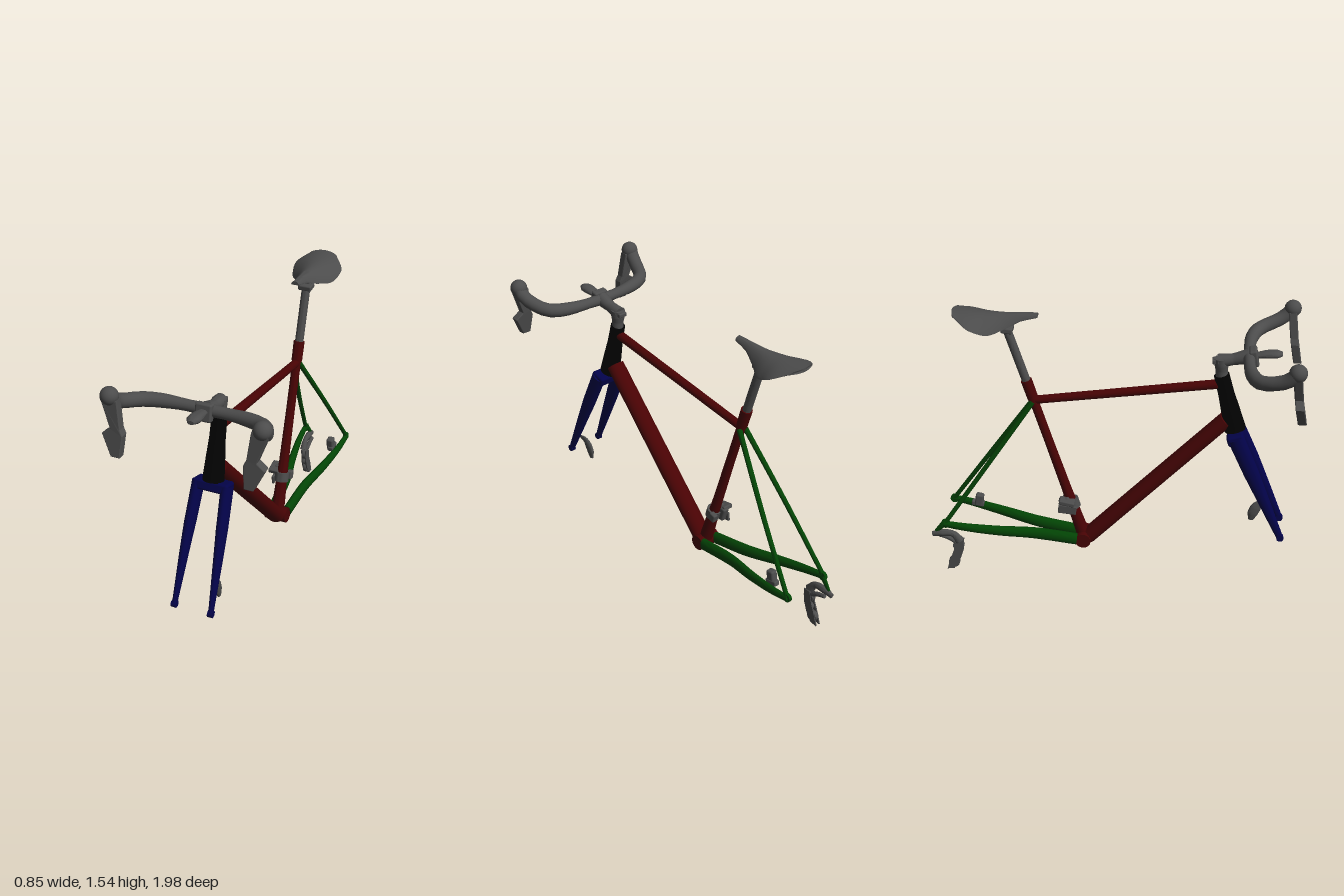
import * as THREE from 'three';
import { toCreasedNormals } from 'three/addons/utils/BufferGeometryUtils.js';
import { RoundedBoxGeometry } from 'three/addons/geometries/RoundedBoxGeometry.js';

const paint = (name, color) => Object.assign(new THREE.MeshStandardMaterial({ color }), { name });
const V = (p) => new THREE.Vector3(...p);

export function createModel() {
  const red = paint('dark red', 0x480304);
  const green = paint('dark green', 0x034405);
  const blue = paint('dark blue', 0x03034a);
  const grey = paint('component grey', 0x4c4c4c);
  const black = paint('black', 0x020202);
  const model = new THREE.Group();

  const add = (name, geometry, material) => {
    const mesh = new THREE.Mesh(geometry, material);
    mesh.name = name;
    model.add(mesh);
    return mesh;
  };

  // Capped tube through points, with radii spread along it and a width factor in x
  const sweep = (name, material, points, radii, xScale = 1) => {
    const n = 26, sides = 18;
    const curve = new THREE.CatmullRomCurve3(points.map(V));
    const geo = new THREE.TubeGeometry(curve, n, 1, sides);
    const pos = geo.attributes.position, dir = geo.attributes.normal;
    for (let i = 0; i <= n; i++) {
      const t = THREE.MathUtils.clamp((i - 1) / (n - 2), 0, 1);
      const c = curve.getPointAt(t);
      const f = t * (radii.length - 1), k = Math.min(Math.floor(f), radii.length - 2);
      const r = i === 0 || i === n ? 0 : THREE.MathUtils.lerp(radii[k], radii[k + 1], f - k);
      for (let j = 0; j <= sides; j++) {
        const v = i * (sides + 1) + j;
        pos.setXYZ(v, c.x + dir.getX(v) * r * xScale, c.y + dir.getY(v) * r, c.z + dir.getZ(v) * r);
      }
    }
    return add(name, toCreasedNormals(geo, 0.8), material);
  };

  // Flat plate drawn as [z, y] points, centred on x
  const plate = (name, material, points, x, thickness) => {
    const shape = new THREE.Shape(points.map((p) => new THREE.Vector2(...p)));
    const geo = new THREE.ExtrudeGeometry(shape, { depth: thickness, bevelEnabled: false });
    geo.rotateY(-Math.PI / 2).translate(x + thickness / 2, 0, 0);
    return add(name, geo, material);
  };

  const block = (name, material, size, at, tilt = 0) => {
    const mesh = add(name, new RoundedBoxGeometry(...size, 3, Math.min(...size) * 0.25), material);
    mesh.position.set(...at);
    mesh.rotation.x = tilt;
    return mesh;
  };

  // Disc or cylinder lying along x
  const disc = (name, material, r, width, at) => {
    const geo = new THREE.CylinderGeometry(r, r, width, 28).rotateZ(Math.PI / 2);
    add(name, geo, material).position.set(...at);
  };

  // Main frame
  sweep('headTube', black, [[0, 0.92, 0.65], [0, 1.235, 0.565]], [0.057, 0.05, 0.042, 0.04], 0.95);
  sweep('topTube', red, [[0, 1.18, 0.55], [0, 1.04, -0.41]], [0.025, 0.022]);
  sweep('downTube', red, [[0, 0.975, 0.6], [0, 0.2, -0.13]], [0.042, 0.044], 1.2);
  sweep('seatTube', red, [[0, 0.2, -0.155], [0, 1.1, -0.43]], [0.037, 0.027, 0.024, 0.024]);
  sweep('seatCollar', red, [[0, 1.05, -0.415], [0, 1.155, -0.447]], [0.029, 0.03]);
  disc('bottomBracketShell', red, 0.043, 0.124, [0, 0.197, -0.155]);

  // Fork
  block('forkCrown', blue, [0.19, 0.055, 0.09], [0, 0.895, 0.655], -0.28);
  for (const s of [-1, 1]) {
    sweep('forkBlade', blue,
      [[s * 0.077, 0.905, 0.655], [s * 0.09, 0.62, 0.785], [s * 0.1, 0.315, 0.922]],
      [0.044, 0.041, 0.03, 0.018], 0.68);
    disc('forkDropout', blue, 0.019, 0.026, [s * 0.1, 0.318, 0.921]);

    // Rear stays
    sweep('seatStay', green,
      [[s * 0.018, 1.035, -0.415], [s * 0.083, 0.66, -0.672], [s * 0.132, 0.32, -0.905]],
      [0.014, 0.012]);
    sweep('chainStay', green,
      [[s * 0.045, 0.2, -0.19], [s * 0.06, 0.235, -0.42], [s * 0.1, 0.265, -0.62], [s * 0.127, 0.295, -0.8], [s * 0.134, 0.315, -0.915]],
      [0.035, 0.035, 0.031, 0.026, 0.019], 0.7);
    disc('rearDropout', green, 0.024, 0.018, [s * 0.13, 0.315, -0.905]);
  }
  sweep('derailleurHanger', green, [[-0.125, 0.315, -0.91], [-0.12, 0.255, -0.962]], [0.018, 0.011], 0.6);

  // Seatpost and clamp
  sweep('seatpost', grey, [[0, 1.14, -0.443], [0, 1.44, -0.537]], [0.023, 0.023]);
  block('saddleClamp', grey, [0.075, 0.03, 0.06], [0, 1.445, -0.535], 0.1);
  block('clampYoke', grey, [0.036, 0.07, 0.03], [0, 1.485, -0.55]);

  // Saddle: each station holds half width, wing droop and top height, nose to tail
  const stations = new THREE.CatmullRomCurve3([
    [0.022, 0.008, 1.54], [0.034, 0.025, 1.538], [0.068, 0.056, 1.534],
    [0.118, 0.07, 1.534], [0.135, 0.042, 1.538], [0.075, 0.004, 1.543],
  ].map(V));
  const saddle = new THREE.CylinderGeometry(1, 1, 1, 40, 30).rotateX(Math.PI / 2);
  const sp = saddle.attributes.position;
  for (let i = 0; i < sp.count; i++) {
    const t = 0.5 - sp.getZ(i), u = sp.getX(i), [w, droop, top] = stations.getPoint(t).toArray();
    const tail = 0.1 * Math.max(0, t - 0.8) * (1 - u * u);
    sp.setXYZ(i, w * u, top - droop * u * u + 0.01 * (sp.getY(i) - 1), -0.375 - 0.42 * t - tail);
  }
  add('saddle', toCreasedNormals(saddle, 0.9), grey);

  // Stem and handlebar
  sweep('steererSpacers', grey, [[0, 1.225, 0.567], [0, 1.33, 0.56]], [0.032, 0.031, 0.037, 0.037]);
  sweep('stem', grey, [[0, 1.312, 0.545], [0, 1.325, 0.62], [0, 1.345, 0.7]], [0.036, 0.03, 0.04]);
  block('stemTail', grey, [0.05, 0.025, 0.07], [0, 1.315, 0.55], -0.1);
  block('stemFaceplate', grey, [0.085, 0.09, 0.04], [0, 1.345, 0.725], -0.2);
  sweep('frontMount', grey, [[0, 1.35, 0.72], [0, 1.362, 0.8], [0, 1.365, 0.868]],
    [0.014, 0.015, 0.018, 0.02, 0.02, 0.01], 1.75);
  sweep('handlebar', grey,
    [[-0.386, 1.455, 0.923], [-0.378, 1.41, 0.89], [-0.358, 1.38, 0.83], [-0.315, 1.358, 0.755], [-0.22, 1.35, 0.715], [0, 1.345, 0.7],
      [0.22, 1.35, 0.715], [0.315, 1.358, 0.755], [0.358, 1.38, 0.83], [0.378, 1.41, 0.89], [0.386, 1.455, 0.923]],
    [0.038, 0.036, 0.037, 0.035, 0.028, 0.031, 0.028, 0.035, 0.037, 0.036, 0.038]);

  // Brake hoods and levers
  for (const s of [-1, 1]) {
    const hood = new THREE.SphereGeometry(0.045, 24, 16);
    add('hood', hood, grey).position.set(s * 0.382, 1.45, 0.925);
    const outline = [[0.335, 1.44], [0.318, 1.3], [0.304, 1.27], [0.315, 1.16], [0.362, 1.16], [0.412, 1.265], [0.37, 1.297], [0.418, 1.43]];
    const shape = new THREE.Shape(outline.map(([x, y]) => new THREE.Vector2(s * x, y)));
    const lever = new THREE.ExtrudeGeometry(shape, { depth: 0.032, bevelEnabled: true, bevelSize: 0.004, bevelThickness: 0.006, bevelOffset: -0.004, bevelSegments: 2 });
    const lp = lever.attributes.position;
    for (let i = 0; i < lp.count; i++) {
      const drop = 1.44 - lp.getY(i);
      lp.setZ(i, lp.getZ(i) + 0.908 + 0.09 * drop + 0.22 * drop * drop);
    }
    lever.computeVertexNormals();
    add('brakeLever', lever, grey);
  }

  // Disc brake calipers on the left side
  sweep('frontCaliper', grey, [[0.08, 0.42, 0.855], [0.078, 0.41, 0.805], [0.074, 0.365, 0.778], [0.074, 0.31, 0.765]],
    [0.01, 0.02, 0.03, 0.028, 0.014], 0.45);
  block('rearCaliper', grey, [0.04, 0.075, 0.045], [0.09, 0.34, -0.755], 0.15);
  block('rearCaliperFoot', grey, [0.035, 0.03, 0.07], [0.095, 0.315, -0.765], 0.15);

  // Front derailleur
  sweep('frontDerailleurBand', grey, [[0, 0.385, -0.209], [0, 0.435, -0.224]], [0.04, 0.04]);
  block('frontDerailleurBody', grey, [0.04, 0.085, 0.06], [-0.03, 0.415, -0.25], -0.25);
  block('frontDerailleurArm', grey, [0.06, 0.025, 0.085], [-0.047, 0.443, -0.24], 0.2);
  block('frontDerailleurCage', grey, [0.014, 0.05, 0.1], [-0.045, 0.39, -0.24], 0.1);
  block('bandBolt', grey, [0.03, 0.05, 0.04], [0.035, 0.41, -0.25], -0.25);

  // Rear derailleur
  sweep('derailleurKnuckle', grey, [[-0.12, 0.235, -0.985], [-0.12, 0.245, -0.93], [-0.118, 0.24, -0.87], [-0.115, 0.195, -0.835]],
    [0.014, 0.022, 0.018, 0.026], 0.8);
  sweep('derailleurLink', grey, [[-0.105, 0.22, -0.95], [-0.105, 0.205, -0.9], [-0.108, 0.175, -0.85]], [0.011, 0.014]);
  const cage = [[-0.815, 0.2], [-0.855, 0.2], [-0.872, 0.13], [-0.895, 0.07], [-0.916, 0.004], [-0.875, 0.01], [-0.843, 0.06], [-0.822, 0.12]];
  for (const x of [-0.119, -0.095]) plate('derailleurCage', grey, cage, x, 0.007);
  disc('upperPulley', grey, 0.031, 0.024, [-0.107, 0.16, -0.845]);
  disc('lowerPulley', grey, 0.031, 0.024, [-0.107, 0.047, -0.876]);
  disc('cageSpacer', grey, 0.02, 0.024, [-0.107, 0.1, -0.855]);

  return model;
}
